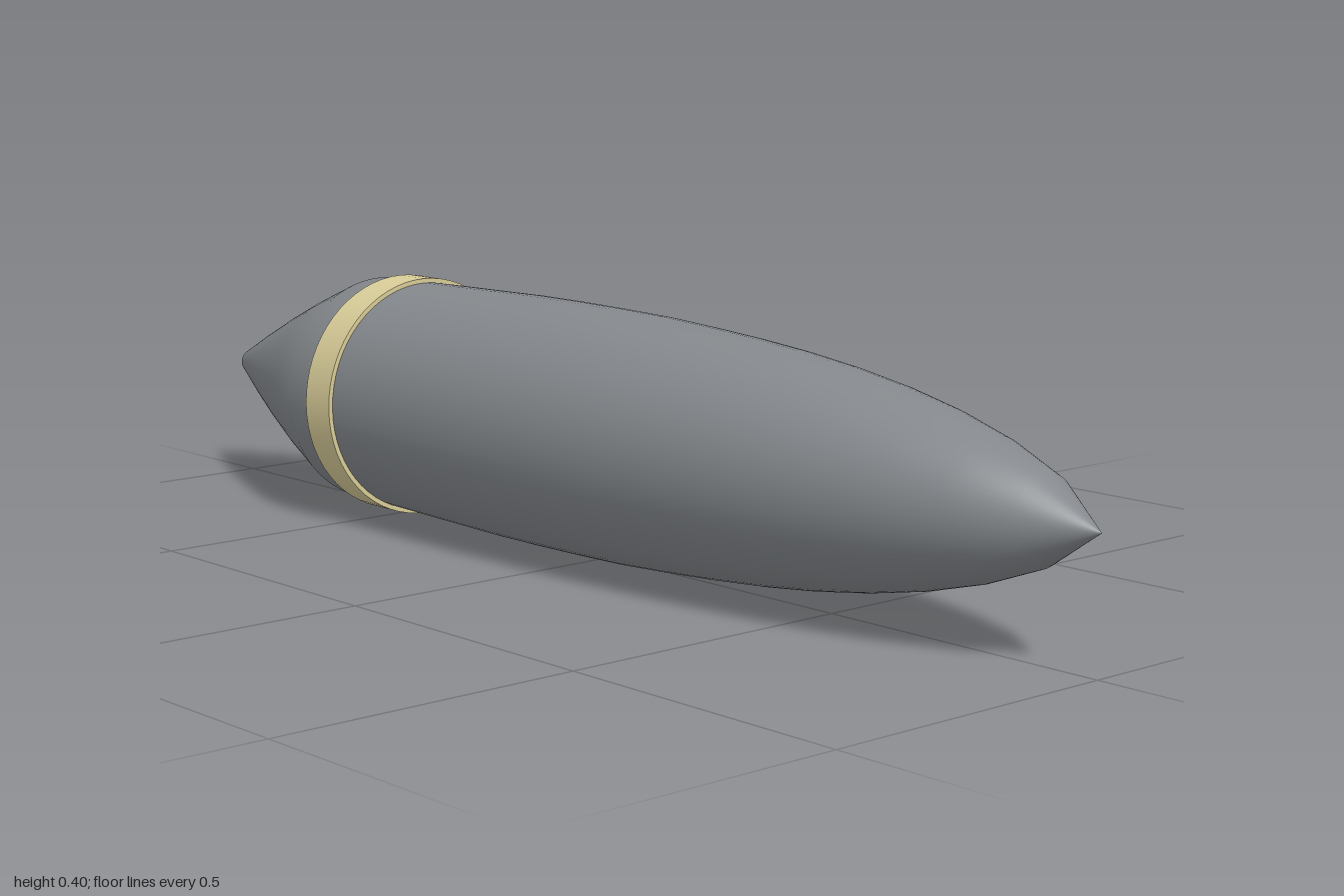
import * as THREE from 'three';
import { toCreasedNormals } from 'three/addons/utils/BufferGeometryUtils.js';

const SEGMENTS = 64;
const AXIS_HEIGHT = 0.202;

// Turn a profile of [x, radius] pairs around the long x axis.
function turn(profile) {
  const points = profile.map(([x, r]) => new THREE.Vector2(r, x));
  return new THREE.LatheGeometry(points, SEGMENTS).rotateZ(-Math.PI / 2);
}

export function createModel() {
  const grey = new THREE.MeshStandardMaterial({ color: 0x84888c });
  grey.name = 'hull grey';
  const cream = new THREE.MeshStandardMaterial({ color: 0xd8cc98 });
  cream.name = 'band cream';

  const model = new THREE.Group();
  model.name = 'shell';
  const add = (name, geometry, material) => {
    const mesh = new THREE.Mesh(geometry, material);
    mesh.name = name;
    mesh.position.y = AXIS_HEIGHT;
    model.add(mesh);
    return mesh;
  };

  // Tapered tail, full middle and long curved nose with a pointed tip
  add('body', turn([
    [-1, 0.02], [-0.9, 0.067], [-0.8, 0.112], [-0.7, 0.154], [-0.6, 0.192],
    [-0.5, 0.194], [-0.4, 0.196], [-0.3, 0.198], [-0.2, 0.2], [-0.1, 0.2],
    [0, 0.199], [0.1, 0.197], [0.2, 0.192], [0.3, 0.186], [0.4, 0.178],
    [0.5, 0.167], [0.6, 0.152], [0.7, 0.132], [0.8, 0.105], [0.9, 0.067], [1, 0],
  ]), grey);

  // Small flat end of the tail
  const cap = add('tailCap', new THREE.CircleGeometry(0.02, SEGMENTS).rotateY(-Math.PI / 2), grey);
  cap.position.x = -1;

  // Raised ring just ahead of the shoulder
  const ring = turn([[-0.54, 0.19], [-0.54, 0.202], [-0.475, 0.202], [-0.475, 0.19]]);
  add('band', toCreasedNormals(ring, Math.PI / 6), cream);

  return model;
}
